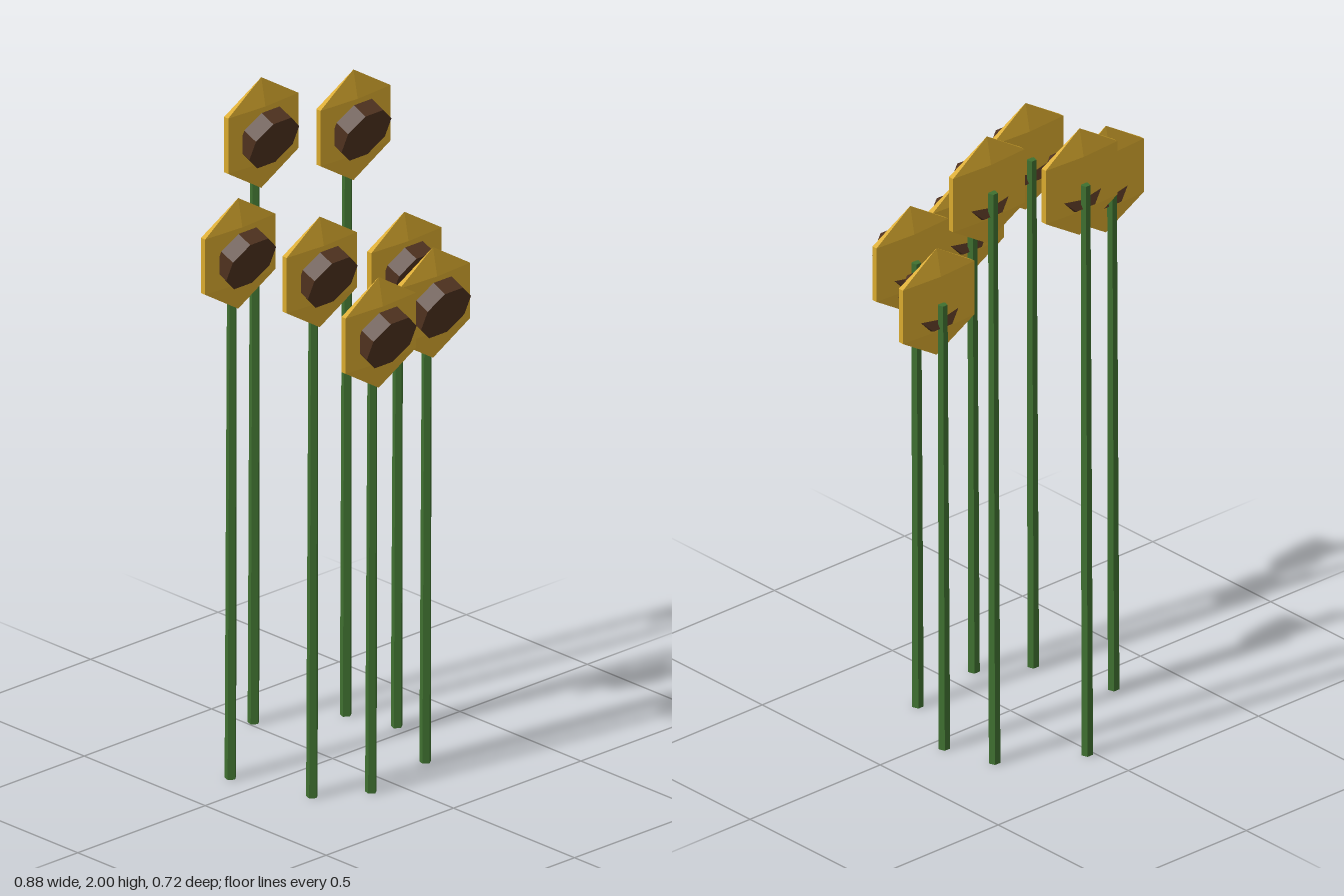
import * as THREE from 'three';

const mat = (name, color) => {
  const m = new THREE.MeshStandardMaterial({ color, flatShading: true });
  m.name = name;
  return m;
};

export function createModel() {
  const yellow = mat('petal yellow', 0xd9aa2e);
  const brown = mat('seed brown', 0x4f321f);
  const green = mat('stem green', 0x3f7030);

  // Flattened six-sided petal disc, pointed at top and bottom
  const petalGeo = new THREE.SphereGeometry(1, 6, 3);
  petalGeo.rotateY(Math.PI / 6);
  petalGeo.scale(0.1377 / 0.75, 0.171, 0.02);

  // Octagonal seed head, nodding forward and down
  const seedGeo = new THREE.CylinderGeometry(0.092, 0.092, 0.052, 8);
  seedGeo.rotateY(Math.PI / 8);
  seedGeo.rotateX(Math.PI / 2 + 0.4);

  // Disc x, disc z and head height of each flower
  const flowers = [
    [0.025, -0.321, 1.829],
    [0.254, -0.181, 1.829],
    [0.301, -0.02, 1.425],
    [-0.302, -0.072, 1.627],
    [-0.227, 0.186, 1.627],
    [-0.081, 0.276, 1.425],
    [0.182, 0.2235, 1.425],
  ];

  const model = new THREE.Group();
  model.name = 'sunflowers';

  flowers.forEach(([x, z, h], i) => {
    const flower = new THREE.Group();
    flower.name = `flower${i + 1}`;
    flower.position.set(x, 0, z);
    const add = (name, geo, material, px, py, pz) => {
      const mesh = new THREE.Mesh(geo, material);
      mesh.name = name;
      mesh.position.set(px, py, pz);
      flower.add(mesh);
    };

    // Slightly tapering five-sided stem with a faint lean
    const stemGeo = new THREE.CylinderGeometry(0.0145, 0.0175, h, 5);
    const p = stemGeo.attributes.position;
    for (let k = 0; k < p.count; k++) if (p.getY(k) < 0) p.setX(k, p.getX(k) - 0.006);
    stemGeo.computeVertexNormals();

    add('stem', stemGeo, green, 0, h / 2, -0.025);
    add('petals', petalGeo, yellow, 0, h, 0);
    add('seedHead', seedGeo, brown, 0, h - 0.006, 0.03);
    model.add(flower);
  });

  return model;
}
